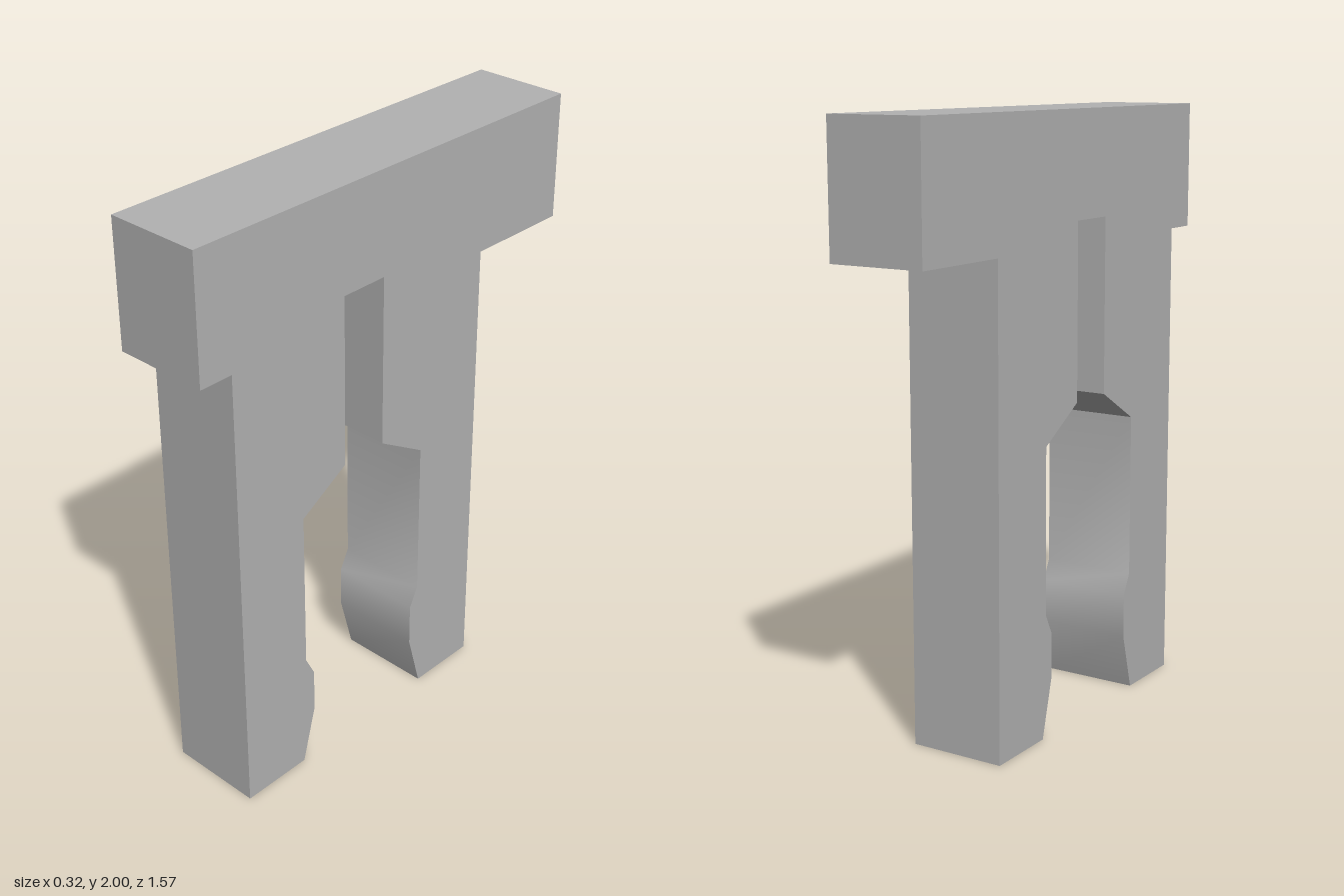
import * as THREE from 'three';
import { toCreasedNormals } from 'three/addons/utils/BufferGeometryUtils.js';

const WIDTH = 0.325;      // thickness along x
const LEG_CENTRE = 0.127; // z of the symmetry line between the two legs

// Half of the leg outline: distance from the symmetry line, height
const LEG = [
  [0.538, 1.58], [0.538, 0], [0.287, 0], [0.235, 0.195], [0.235, 0.345],
  [0.27, 0.415], [0.27, 0.965], [0.085, 1.075], [0.085, 1.655],
];

export function createModel() {
  const grey = new THREE.MeshStandardMaterial({ color: 0xb2b2b2 });
  grey.name = 'plain grey';

  // Side profile drawn as (z, y): crossbar, back leg, slot, front leg
  const backLeg = LEG.map(([d, y]) => new THREE.Vector2(LEG_CENTRE - d, y));
  const frontLeg = LEG.map(([d, y]) => new THREE.Vector2(LEG_CENTRE + d, y)).reverse();
  const profile = new THREE.Shape([
    new THREE.Vector2(0.783, 2),
    new THREE.Vector2(-0.783, 2),
    new THREE.Vector2(-0.783, 1.58),
    ...backLeg,
    ...frontLeg,
    new THREE.Vector2(0.783, 1.58),
  ]);

  // Extrude across the width, then turn the profile into the z-y plane
  const geometry = new THREE.ExtrudeGeometry(profile, { depth: WIDTH, bevelEnabled: false });
  geometry.translate(0, 0, -WIDTH / 2);
  geometry.rotateY(-Math.PI / 2);

  // Gentle bends at the gripping tips stay smooth, all other edges are sharp
  const clip = new THREE.Mesh(toCreasedNormals(geometry, Math.PI / 6), grey);
  clip.name = 'twoLeggedClip';

  const model = new THREE.Group();
  model.name = 'clip';
  model.add(clip);
  return model;
}
